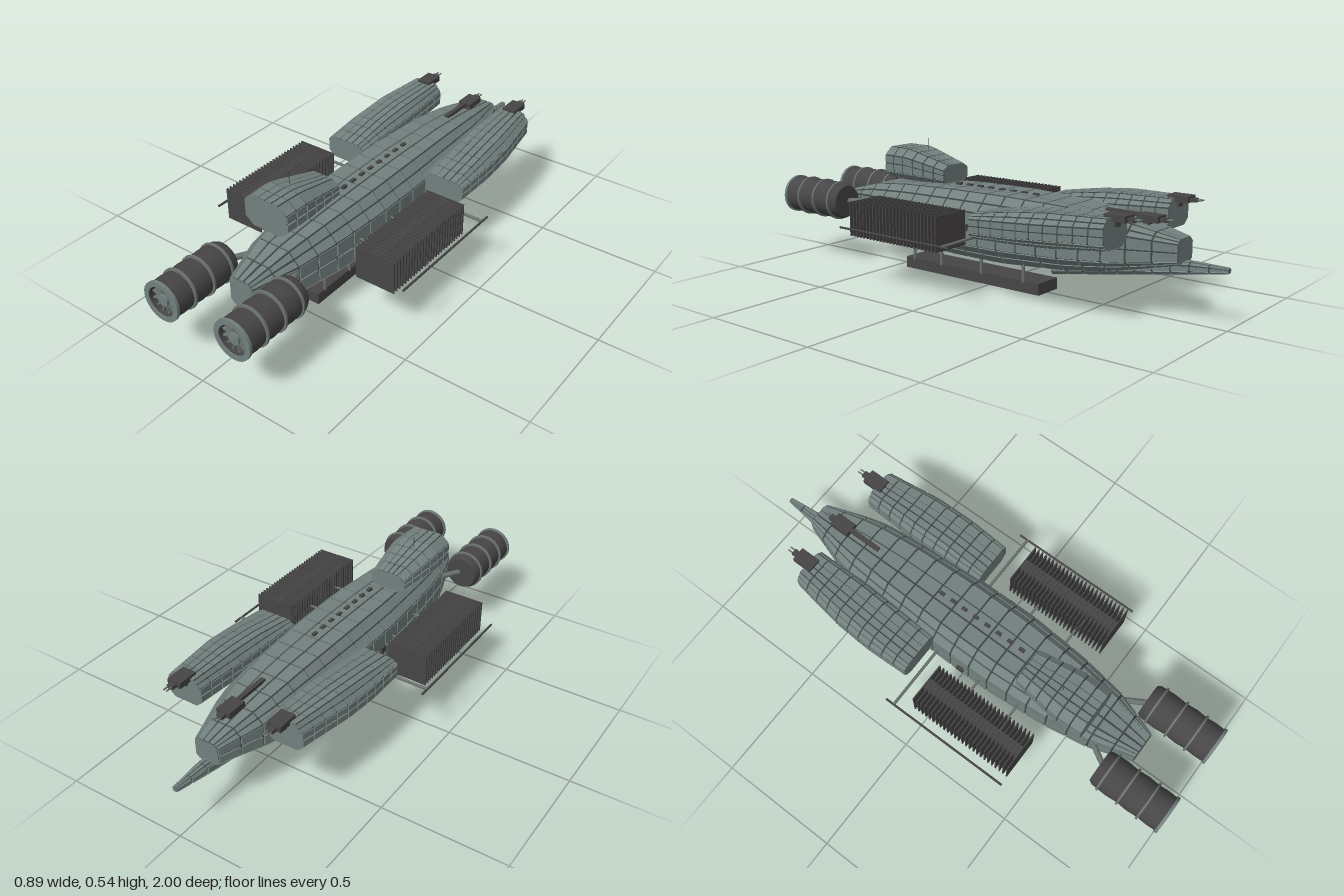
import * as THREE from 'three';
import { toCreasedNormals } from 'three/addons/utils/BufferGeometryUtils.js';

const flat = (name, color, side = THREE.FrontSide) => {
  const m = new THREE.MeshStandardMaterial({ color, side });
  m.name = name;
  return m;
};

export function createModel() {
  const root = new THREE.Group();
  root.name = 'spaceship';
  const plate = flat('hull plate', 0x72807e);
  const groove = flat('groove grey', 0x3c4343);
  const dark = flat('machinery grey', 0x474545);
  const metal = flat('strut grey', 0x6a7270);

  const add = (name, geo, mat, x = 0, y = 0, z = 0, parent = root) => {
    const m = new THREE.Mesh(geo, mat);
    m.name = name;
    m.position.set(x, y, z);
    parent.add(m);
    return m;
  };
  const box = (name, w, h, d, mat, x, y, z, parent) =>
    add(name, new THREE.BoxGeometry(w, h, d), mat, x, y, z, parent);
  const rod = (name, a, b, r, mat, parent = root) => {
    const p = new THREE.Vector3(...a), q = new THREE.Vector3(...b);
    const m = add(name, new THREE.CylinderGeometry(r, r, p.distanceTo(q), 8), mat, 0, 0, 0, parent);
    m.position.copy(p).lerp(q, 0.5);
    m.quaternion.setFromUnitVectors(new THREE.Vector3(0, 1, 0), q.sub(p).normalize());
    return m;
  };

  // Collects faces, turning each one away from a reference point
  const faces = () => {
    const pos = [];
    const tri = (a, b, c, ref) => {
      const n = b.clone().sub(a).cross(c.clone().sub(a));
      const out = a.clone().add(b).add(c).divideScalar(3).sub(ref);
      for (const v of n.dot(out) < 0 ? [a, c, b] : [a, b, c]) pos.push(v.x, v.y, v.z);
    };
    return {
      tri,
      quad: (a, b, c, d, ref) => { tri(a, b, c, ref); tri(a, c, d, ref); },
      geometry: () => {
        const g = new THREE.BufferGeometry();
        g.setAttribute('position', new THREE.Float32BufferAttribute(pos, 3));
        g.computeVertexNormals();
        return g;
      },
    };
  };

  // Eight-sided body covered in raised plates.
  // Section: [z, centre x, half width, half flat width, bottom, top, side low, side high]
  // columns: plates across each facet, starting from the lower left chamfer going round
  function platedBody(name, sections, rows, columns, gap = 0.0035) {
    const group = new THREE.Group();
    group.name = name;
    root.add(group);
    const at = z => {
      let i = 0;
      while (i < sections.length - 2 && z < sections[i + 1][0]) i++;
      const s = sections[i], e = sections[i + 1];
      const t = (z - s[0]) / (e[0] - s[0]);
      return s.map((v, k) => v + (e[k] - v) * t);
    };
    const centre = z => { const s = at(z); return new THREE.Vector3(s[1], (s[4] + s[5]) / 2, z); };
    const ring = z => {
      const [, cx, w, f, y0, y1, l, h] = at(z);
      return [[f, y0], [w, l], [w, h], [f, y1], [-f, y1], [-w, h], [-w, l], [-f, y0]]
        .map(([x, y]) => new THREE.Vector3(cx + x, y, z));
    };
    const shrink = (v, d) => {
      const c = centre(v.z), r = v.clone().sub(c);
      return c.addScaledVector(r, Math.max(0.5, 1 - d / r.length()));
    };
    const core = faces(), skin = faces(), caps = faces();
    const z0 = sections[0][0], z1 = sections[sections.length - 1][0];
    for (let r = 0; r < rows; r++) {
      const za = z0 + (z1 - z0) * r / rows, zb = z0 + (z1 - z0) * (r + 1) / rows;
      const mid = centre((za + zb) / 2);
      const A = ring(za), B = ring(zb), C = ring(za - gap), D = ring(zb + gap);
      for (let k = 0; k < 8; k++) {
        const j = (k + 1) % 8, n = columns[k];
        core.quad(...[A[k], A[j], B[j], B[k]].map(v => shrink(v, 0.006)), mid);
        const g = Math.min(gap / Math.max(0.001, A[k].distanceTo(A[j])), 0.14 / n);
        for (let c = 0; c < n; c++) {
          const u = c / n + g, v = (c + 1) / n - g;
          const q = [C[k].clone().lerp(C[j], u), C[k].clone().lerp(C[j], v),
            D[k].clone().lerp(D[j], v), D[k].clone().lerp(D[j], u)];
          skin.quad(...q, mid);
          const low = q.map(p => shrink(p, 0.008));
          const pc = q[0].clone().add(q[1]).add(q[2]).add(q[3]).divideScalar(4);
          for (let i = 0; i < 4; i++) skin.quad(q[i], q[(i + 1) % 4], low[(i + 1) % 4], low[i], pc);
        }
      }
    }
    for (const z of [z0, z1]) {
      const R = ring(z).map(v => shrink(v, 0.003));
      for (let k = 0; k < 8; k++) caps.tri(centre(z), R[k], R[(k + 1) % 8], centre((z0 + z1) / 2));
    }
    add(name + 'Core', core.geometry(), groove, 0, 0, 0, group);
    add(name + 'Plates', skin.geometry(), plate, 0, 0, 0, group);
    add(name + 'Ends', caps.geometry(), plate, 0, 0, 0, group);
  }

  platedBody('hull', [
    [0.78, 0, 0.055, 0.038, 0.175, 0.297, 0.195, 0.28],
    [0.6, 0, 0.115, 0.07, 0.147, 0.345, 0.185, 0.295],
    [0.4, 0, 0.145, 0.088, 0.125, 0.365, 0.178, 0.305],
    [0.15, 0, 0.163, 0.1, 0.111, 0.375, 0.175, 0.31],
    [-0.1, 0, 0.162, 0.1, 0.111, 0.378, 0.175, 0.31],
    [-0.4, 0, 0.145, 0.09, 0.13, 0.37, 0.185, 0.31],
    [-0.6, 0, 0.125, 0.075, 0.16, 0.35, 0.2, 0.305],
    [-0.83, 0, 0.052, 0.035, 0.21, 0.303, 0.225, 0.288],
  ], 18, [2, 2, 2, 3, 2, 2, 2, 3]);

  platedBody('bridge', [
    [0.577, -0.055, 0.1, 0.062, 0.365, 0.497, 0.395, 0.465],
    [0.46, -0.055, 0.104, 0.066, 0.362, 0.495, 0.395, 0.465],
    [0.26, -0.048, 0.076, 0.045, 0.362, 0.445, 0.385, 0.425],
  ], 6, [1, 2, 1, 4, 1, 2, 1, 3], 0.003);
  rod('bridgeAntenna', [-0.067, 0.48, 0.43], [-0.067, 0.535, 0.43], 0.0015, dark);

  // Tail keel running out into a spike
  platedBody('tailKeel', [
    [-0.29, 0, 0.048, 0.033, 0.086, 0.13, 0.1, 0.118],
    [-0.83, 0, 0.028, 0.018, 0.174, 0.224, 0.188, 0.212],
    [-1, 0, 0.01, 0.007, 0.203, 0.223, 0.208, 0.218],
  ], 10, [1, 1, 1, 2, 1, 1, 1, 2], 0.003);

  // Twin-barrelled gun turret aimed to the rear
  function turret(x, y) {
    const g = new THREE.Group();
    g.name = 'turret';
    g.position.set(x, y, -0.69);
    root.add(g);
    box('turretBody', 0.058, 0.024, 0.085, dark, 0, 0.006, 0, g);
    box('turretMount', 0.03, 0.03, 0.04, dark, 0, -0.012, 0.02, g);
    box('gunBreech', 0.026, 0.014, 0.03, dark, 0, 0.004, -0.05, g);
    for (const s of [-1, 1]) rod('gunBarrel', [s * 0.007, 0.006, -0.04], [s * 0.007, 0.006, -0.088], 0.003, metal, g);
  }
  turret(0, 0.35);
  box('turretSpine', 0.018, 0.014, 0.15, dark, 0, 0.362, -0.58);

  // Dorsal hatches along the ridge
  for (let i = 0; i < 8; i++) box('dorsalHatch', 0.014, 0.01, 0.024, dark, 0, 0.378, 0.2 - i * 0.055);

  for (const s of [-1, 1]) {
    platedBody(s > 0 ? 'leftPod' : 'rightPod', [
      [-0.115, s * 0.238, 0.09, 0.062, 0.25, 0.345, 0.275, 0.328],
      [-0.3, s * 0.238, 0.098, 0.062, 0.255, 0.375, 0.285, 0.342],
      [-0.45, s * 0.233, 0.097, 0.062, 0.262, 0.39, 0.295, 0.352],
      [-0.68, s * 0.22, 0.076, 0.05, 0.282, 0.396, 0.305, 0.365],
    ], 10, [2, 2, 2, 4, 2, 2, 2, 3], 0.0028);
    turret(s * 0.217, 0.388);

    // Slatted radiator bank
    const bank = new THREE.Group();
    bank.name = 'radiatorBank';
    root.add(bank);
    const cx = s * 0.312;
    box('radiatorSpine', 0.042, 0.125, 0.445, dark, cx, 0.267, 0.2025, bank);
    for (let i = 0; i <= 25; i++)
      box('radiatorSlat', 0.168, 0.136, 0.005, dark, cx, 0.267, -0.02 + i * 0.0178, bank);
    for (const z of [0.12, 0.3]) rod('radiatorBracket', [s * 0.15, 0.26, z], [s * 0.3, 0.26, z], 0.005, metal);
    box('sideSensor', 0.012, 0.025, 0.03, dark, s * 0.172, 0.25, 0.03);

    // Outrigger arm and its long rail
    rod('outriggerArm', [s * 0.14, 0.245, -0.088], [s * 0.44, 0.24, -0.088], 0.006, metal);
    rod('outriggerRail', [s * 0.44, 0.24, -0.125], [s * 0.44, 0.24, 0.435], 0.0045, dark);

    // Engine: ribbed barrel, bands, and spoked intake
    const engine = new THREE.Group();
    engine.name = 'engine';
    engine.position.set(s * 0.163, 0.268, 0);
    root.add(engine);
    const lathe = (name, pts, mat) => {
      const g = new THREE.LatheGeometry(pts.map(p => new THREE.Vector2(...p)), 28);
      g.rotateX(Math.PI / 2);
      // z grows along the profile after the turn
      return add(name, toCreasedNormals(g, 0.5), mat, 0, 0, 0, engine);
    };
    lathe('engineBarrel', [[0, 0.69], [0.066, 0.69], [0.074, 0.705], [0.077, 0.77], [0.073, 0.82],
      [0.077, 0.865], [0.073, 0.91], [0.076, 0.95], [0.074, 0.996], [0.058, 0.996], [0.056, 0.97], [0, 0.97]], dark);
    for (const z of [0.73, 0.82, 0.91])
      lathe('engineBand', [[0.07, z - 0.005], [0.082, z - 0.004], [0.082, z + 0.004], [0.07, z + 0.005]], metal);
    lathe('intakeRim', [[0.073, 0.988], [0.08, 0.988], [0.08, 1], [0.059, 1], [0.059, 0.985]], plate);
    lathe('intakeHub', [[0.023, 0.965], [0.023, 0.992], [0, 0.994]], plate);
    for (let i = 0; i < 12; i++) {
      const a = (i + 0.5) * Math.PI / 6;
      const spoke = box('intakeSpoke', 0.04, 0.006, 0.014, metal, Math.cos(a) * 0.04, Math.sin(a) * 0.04, 0.977, engine);
      spoke.rotation.z = a;
    }
    rod('engineStrut', [s * 0.09, 0.268, 0.59], [s * 0.16, 0.268, 0.71], 0.012, metal);
  }

  // Underslung cargo deck on four posts
  box('cargoDeck', 0.122, 0.046, 0.69, dark, 0, 0.023, 0.1);
  for (const z of [0.4, 0.25, 0.04, -0.17])
    rod('deckPost', [0.058, 0.04, z], [0.058, 0.14, z], 0.0065, metal);

  return root;
}
